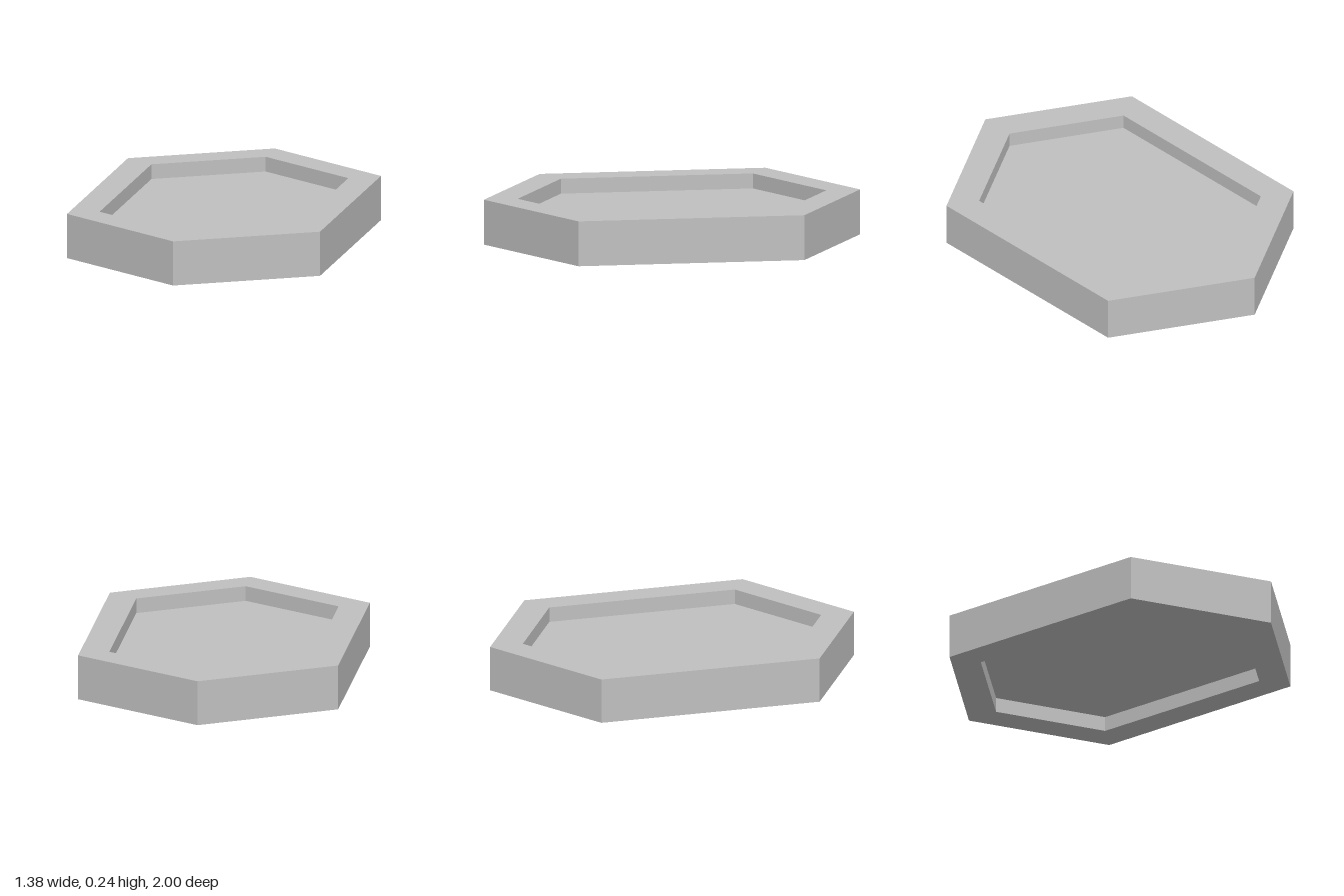
import * as THREE from 'three';

// Elongated hexagon with points on the long (z) axis
function hexPoints(halfWidth, tip, shoulder) {
  return [
    [0, -tip], [halfWidth, -shoulder], [halfWidth, shoulder],
    [0, tip], [-halfWidth, shoulder], [-halfWidth, -shoulder],
  ].map(([x, y]) => new THREE.Vector2(x, y));
}

// Upright prism from a flat outline, standing on the given height
function prism(name, shape, bottom, height, material) {
  const geometry = new THREE.ExtrudeGeometry(shape, { depth: height, bevelEnabled: false });
  geometry.rotateX(-Math.PI / 2);
  geometry.translate(0, bottom, 0);
  const mesh = new THREE.Mesh(geometry, material);
  mesh.name = name;
  return mesh;
}

export function createModel() {
  const group = new THREE.Group();
  group.name = 'hexagonalTray';
  const grey = new THREE.MeshStandardMaterial({ color: 0xc0c0c0 });
  grey.name = 'light grey';

  const inner = hexPoints(0.537, 0.82, 0.51);

  // Raised rim
  const rimShape = new THREE.Shape(hexPoints(0.69, 1, 0.6));
  rimShape.holes.push(new THREE.Path(inner));
  group.add(prism('rim', rimShape, 0, 0.24, grey));

  // Panel at mid height, recessed from both faces
  group.add(prism('panel', new THREE.Shape(inner), 0.08, 0.08, grey));

  return group;
}
